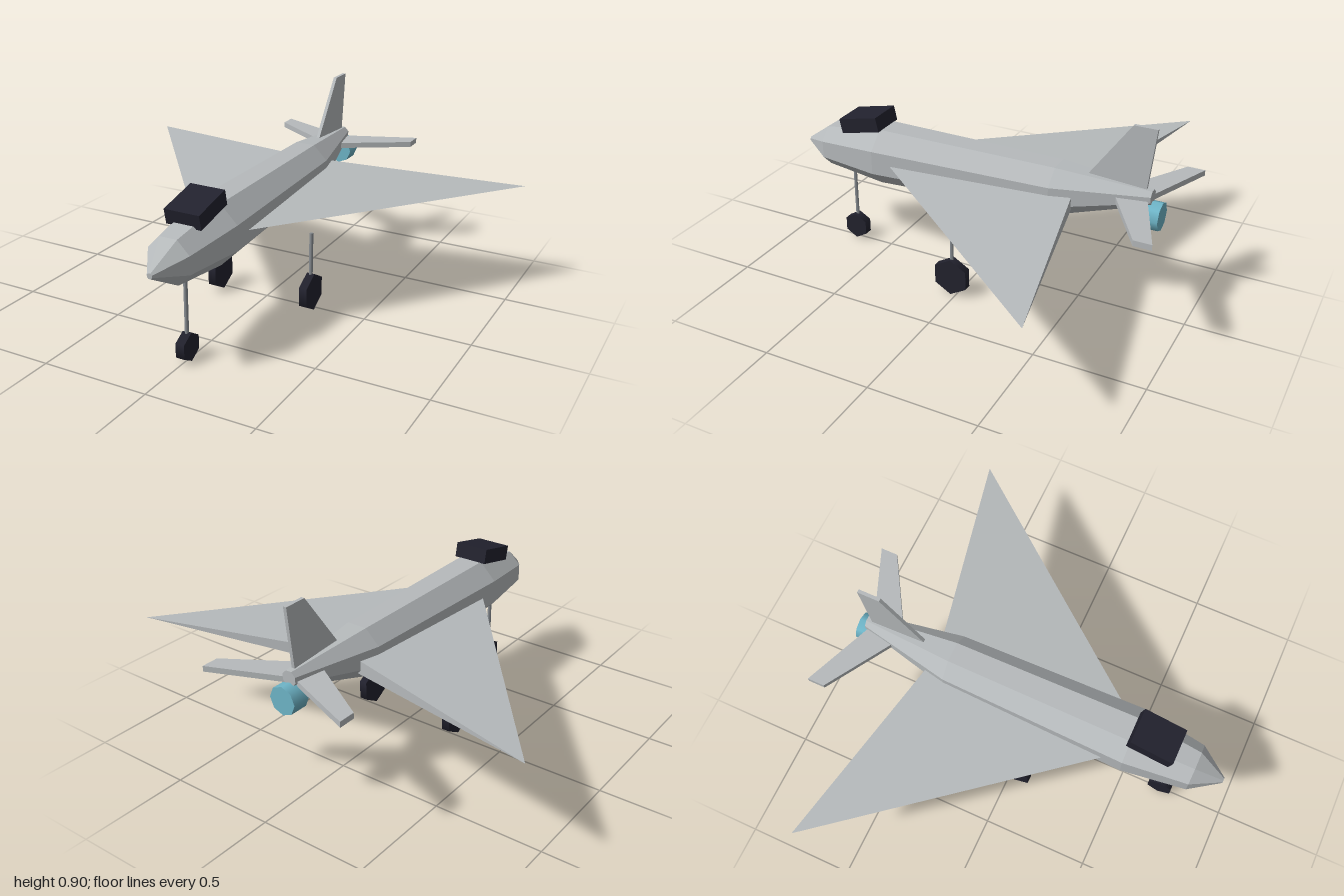
import * as THREE from 'three';
import { ConvexGeometry } from 'three/addons/geometries/ConvexGeometry.js';

const material = (name, color) => {
  const m = new THREE.MeshStandardMaterial({ color });
  m.name = name;
  return m;
};

const flat = (geometry) => {
  const g = geometry.index ? geometry.toNonIndexed() : geometry;
  g.computeVertexNormals();
  return g;
};

// Octagonal body: each section is [z, centre height, half width], nose first
function fuselageGeometry() {
  const sections = [
    [0.935, 0.487, 0.012],
    [0.80, 0.498, 0.098],
    [0.50, 0.51, 0.137],
    [-0.38, 0.533, 0.115],
    [-0.81, 0.587, 0.033],
  ];
  const rows = sections.length - 1;
  const g = new THREE.CylinderGeometry(1, 1, 1, 8, rows, false, Math.PI / 8);
  g.rotateX(Math.PI / 2);
  const p = g.attributes.position;
  for (let i = 0; i < p.count; i++) {
    const [z, cy, half] = sections[Math.round((0.5 - p.getZ(i)) * rows)];
    const r = half / Math.cos(Math.PI / 8);
    p.setXYZ(i, p.getX(i) * r, cy + p.getY(i) * r, z);
  }
  return flat(g);
}

// Plate of even thickness, centred on the plane of its outline
function plate(points, thickness) {
  const shape = new THREE.Shape(points.map(([a, b]) => new THREE.Vector2(a, b)));
  const g = new THREE.ExtrudeGeometry(shape, { depth: thickness, bevelEnabled: false });
  return g.translate(0, 0, -thickness / 2);
}

export function createModel() {
  const model = new THREE.Group();
  model.name = 'jetPlane';
  const grey = material('airframeGrey', 0xb6babc);
  const dark = material('darkNavy', 0x22222e);
  const cyan = material('nozzleBlue', 0x6fb6c9);
  const steel = material('strutGrey', 0x8c9196);

  const add = (name, geometry, mat, x = 0, y = 0, z = 0) => {
    const mesh = new THREE.Mesh(geometry, mat);
    mesh.name = name;
    mesh.position.set(x, y, z);
    model.add(mesh);
    return mesh;
  };

  add('fuselage', fuselageGeometry(), grey);

  // Delta wings: wedge root tapering to a pointed tip
  for (const [side, s] of [['left', 1], ['right', -1]]) {
    const corners = [
      [0.05, 0.512, 0.51], [0.05, 0.551, -0.47],
      [0.05, 0.484, -0.47], [1, 0.512, -0.675],
    ].map(([x, y, z]) => new THREE.Vector3(s * x, y, z));
    add(side + 'Wing', new ConvexGeometry(corners), grey);
  }

  // Swept tailplane, drawn as (x, -z) and laid flat
  const half = [[0, 0.63], [0.36, 0.85], [0.36, 0.93], [0, 0.785]];
  for (const [side, s] of [['left', 1], ['right', -1]]) {
    const g = plate(half.map(([x, d]) => [s * x, d]), 0.026);
    g.rotateX(-Math.PI / 2);
    add(side + 'Tailplane', g, grey, 0, 0.567, 0);
  }

  // Tail fin, drawn as (-z, y) and turned to run along the body
  const fin = plate([[0.515, 0.63], [0.78, 0.6], [0.81, 0.9], [0.705, 0.9]], 0.016);
  fin.rotateY(Math.PI / 2);
  add('tailFin', fin, grey);

  // Canopy block, leaning forward
  add('canopy', new THREE.BoxGeometry(0.166, 0.07, 0.205), dark, 0, 0.658, 0.597)
    .rotation.x = 0.22;

  // Engine nozzle
  const nozzle = new THREE.CylinderGeometry(0.065, 0.065, 0.086, 8);
  nozzle.rotateX(Math.PI / 2);
  add('engineNozzle', nozzle, cyan, 0, 0.505, -0.813);

  // Landing gear: strut and six-sided wheel
  const gear = [
    ['nose', 0, 0.69, 0.065, 0.042],
    ['leftMain', 0.24, 0.025, 0.09, 0.038],
    ['rightMain', -0.24, 0.025, 0.09, 0.038],
  ];
  for (const [name, x, z, radius, width] of gear) {
    const wheel = new THREE.CylinderGeometry(radius, radius, width, 6);
    wheel.rotateZ(Math.PI / 2).rotateX(Math.PI / 2);
    add(name + 'Wheel', wheel, dark, x, radius + 0.002, z);
    const length = 0.38 - radius;
    add(name + 'Strut', new THREE.CylinderGeometry(0.009, 0.009, length, 6), steel,
      x, radius + length / 2, z);
  }

  return model;
}
